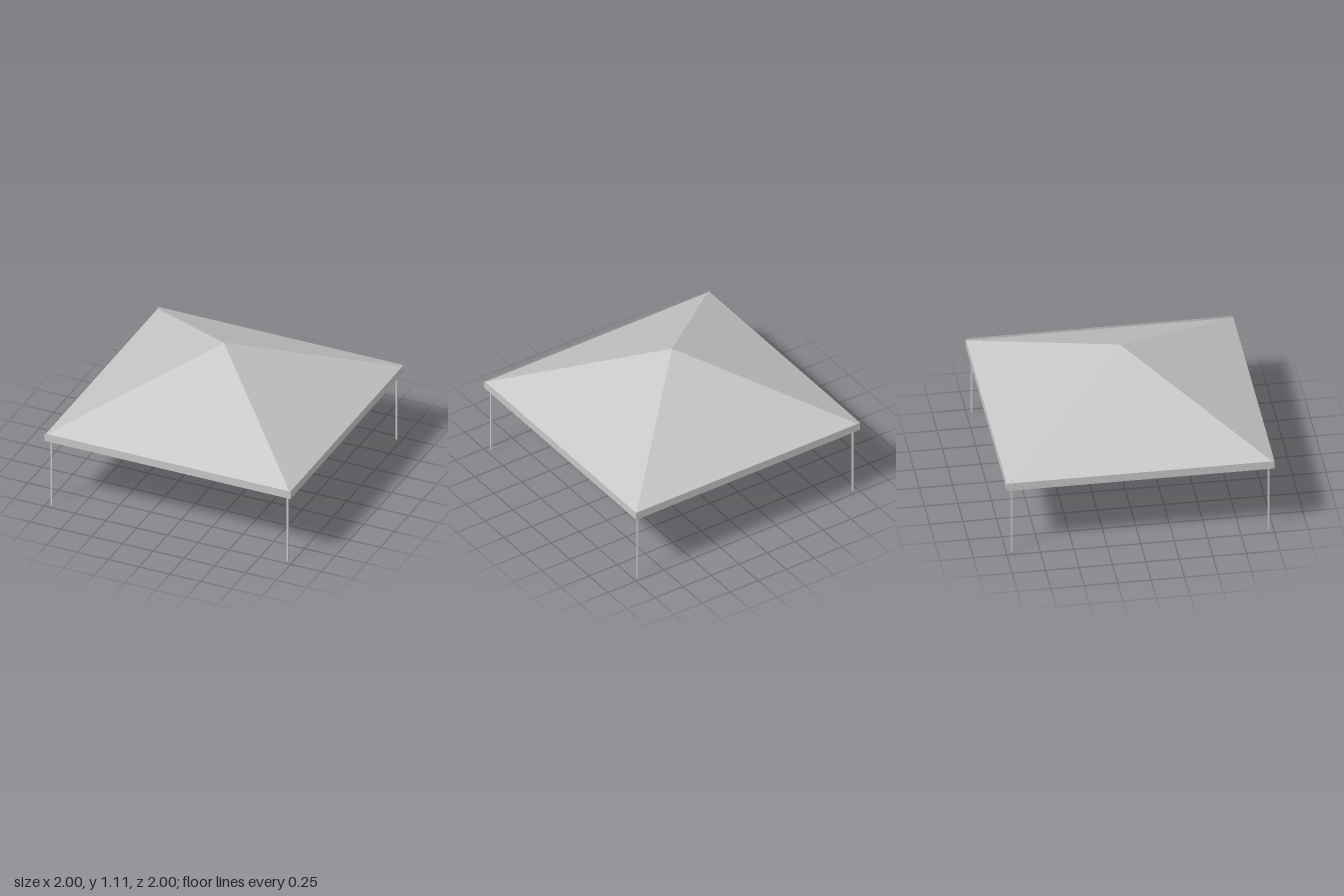
import * as THREE from 'three';

export function createModel() {
  const model = new THREE.Group();
  const grey = new THREE.MeshStandardMaterial({ color: 0xc6c6c6, side: THREE.DoubleSide });
  grey.name = 'light grey';

  const add = (name, geometry, x, y, z) => {
    const mesh = new THREE.Mesh(geometry, grey);
    mesh.name = name;
    mesh.position.set(x, y, z);
    model.add(mesh);
  };

  // Open four-sided shell, turned square to the axes, with flat faces
  const squareShell = (topHalf, bottomHalf, height) => {
    const shell = new THREE.CylinderGeometry(
      topHalf * Math.SQRT2, bottomHalf * Math.SQRT2, height, 4, 1, true
    ).rotateY(Math.PI / 4).toNonIndexed();
    shell.computeVertexNormals();
    return shell;
  };

  // Pyramid roof, its eaves meeting the valance a little below the rim
  const eaves = 0.61, peak = 1.112;
  add('roof', squareShell(0, 0.999, peak - eaves), 0, (eaves + peak) / 2, 0);

  // Thin valance around the eaves
  const bottom = 0.562, rim = 0.626;
  add('valance', squareShell(1, 1, rim - bottom), 0, (bottom + rim) / 2, 0);

  // Slender corner posts reaching up to the roof
  const postHeight = 0.63, inset = 0.96;
  const post = new THREE.BoxGeometry(0.013, postHeight, 0.013);
  for (const [sx, xName] of [[1, 'Left'], [-1, 'Right']])
    for (const [sz, zName] of [[1, 'front'], [-1, 'back']])
      add(zName + xName + 'Post', post, sx * inset, postHeight / 2, sz * inset);

  return model;
}
